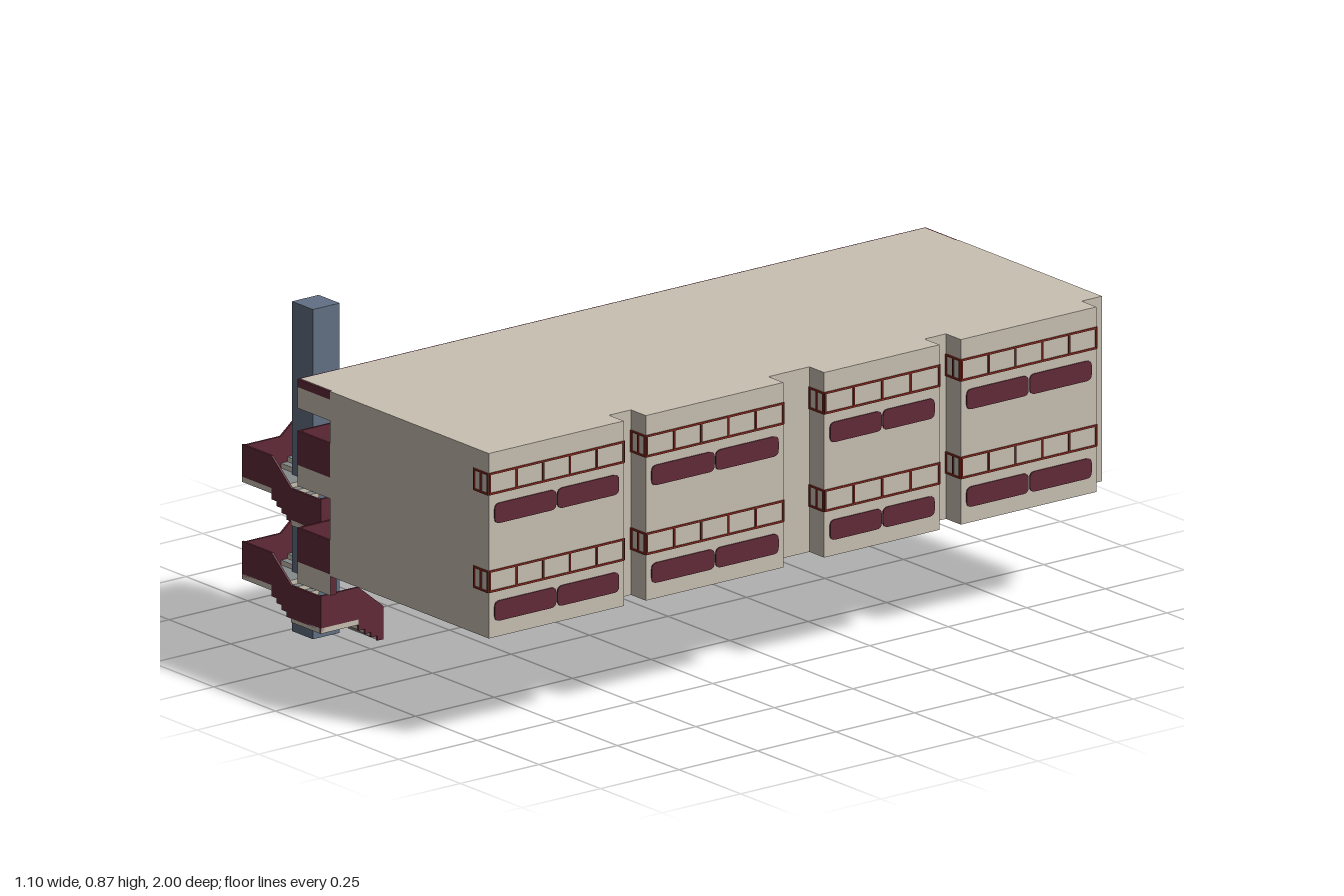
import * as THREE from 'three';

export function createModel() {
  const model = new THREE.Group();
  const mat = (name, color) => {
    const m = new THREE.MeshStandardMaterial({ color });
    m.name = name;
    return m;
  };
  const concrete = mat('beige concrete', 0xc9c0b2);
  const maroon = mat('maroon panel', 0x622a38);
  const slate = mat('slate tower', 0x627084);
  const grey = mat('grey tread', 0x848a8c);
  const frameRed = mat('window frame red', 0x85291f);

  const add = (name, geo, material, parent = model) => {
    const mesh = new THREE.Mesh(geo, material);
    mesh.name = name;
    parent.add(mesh);
    return mesh;
  };
  // Box given by its minimum and maximum along each axis
  const box = (name, x0, x1, y0, y1, z0, z1, material, parent) => {
    const mesh = add(name, new THREE.BoxGeometry(x1 - x0, y1 - y0, z1 - z0), material, parent);
    mesh.position.set((x0 + x1) / 2, (y0 + y1) / 2, (z0 + z1) / 2);
    return mesh;
  };
  const shapeOf = (pts) => new THREE.Shape(pts.map((p) => new THREE.Vector2(p[0], p[1])));

  // Main block: footprint with recesses between the bays on the +x side
  const WALL = -0.097, FACE = 0.547, RECESS = 0.487, EDGE = -0.23;
  const bays = [[0.57, 1], [0.062, 0.5], [-0.435, -0.068], [-0.935, -0.503]];
  const foot = [[WALL, 1], [WALL, -1], [RECESS, -1]];
  for (const [a, b] of [...bays].reverse()) {
    foot.push([RECESS, a], [FACE, a], [FACE, b]);
    if (b < 1) foot.push([RECESS, b]);
  }
  const blockGeo = new THREE.ExtrudeGeometry(shapeOf(foot.map(([x, z]) => [x, -z])), { depth: 0.487, bevelEnabled: false });
  blockGeo.rotateX(-Math.PI / 2).translate(0, 0.28, 0);
  add('mainBlock', blockGeo, concrete);

  // Window bands that wrap the bay corners, with rounded panels below
  const t = 0.003, bar = 0.005;
  const roundedPanel = (length, height, r) => {
    const s = new THREE.Shape(), a = length / 2, b = height / 2;
    s.moveTo(-a + r, -b).lineTo(a - r, -b).quadraticCurveTo(a, -b, a, -b + r);
    s.lineTo(a, b - r).quadraticCurveTo(a, b, a - r, b);
    s.lineTo(-a + r, b).quadraticCurveTo(-a, b, -a, b - r);
    s.lineTo(-a, -b + r).quadraticCurveTo(-a, -b, -a + r, -b);
    return new THREE.ExtrudeGeometry(s, { depth: t, bevelEnabled: false, curveSegments: 4 }).rotateY(Math.PI / 2);
  };
  for (const base of [0.4, 0.657]) {
    const top = base + 0.058;
    bays.forEach(([a, b], i) => {
      const band = new THREE.Group();
      band.name = 'windowBand';
      model.add(band);
      for (const y of [base, top - bar]) box('frameRail', FACE, FACE + t, y, y + bar, a, b, frameRed, band);
      const n = i === 2 ? 4 : 5;
      for (let k = 0; k <= n; k++) {
        const z = a + ((b - a - bar) * k) / n;
        box('frameMullion', FACE, FACE + t, base, top, z, z + bar, frameRed, band);
      }
      // Short return frames around both corners
      for (const [z, s] of [[a, -1], [b, 1]]) {
        const z0 = z === 1 ? z - t + 0.004 : Math.min(z, z + s * t);
        const z1 = z0 + t;
        for (const y of [base, top - bar]) box('returnRail', RECESS, FACE, y, y + bar, z0, z1, frameRed, band);
        for (const x of [RECESS, 0.515, FACE - bar]) box('returnMullion', x, x + bar, base, top, z0, z1, frameRed, band);
      }
      const half = (b - a - 0.03) / 2;
      for (const s of [-1, 1]) {
        const panel = add('roundedPanel', roundedPanel(half - 0.004, 0.053, 0.016), maroon);
        panel.position.set(FACE, base - 0.052, (a + b) / 2 + (s * half) / 2);
      }
    });
  }

  // Access galleries on the -x side: slab, parapet and brackets per level
  const bracketZ = [0.989, 0.73, 0.495, 0.22, 0, -0.22, -0.78, -0.989];
  const bracketMats = [maroon, maroon, concrete, concrete, concrete, concrete];
  const brackets = (level, list) => {
    for (const z of list) box('bracket', EDGE, WALL, level - 0.056, level, z - 0.01, z + 0.01, bracketMats);
  };
  const p = 0.006;
  for (const level of [0.285, 0.54]) {
    box('galleryFloor', EDGE + p, WALL, level, level + 0.012, -1 + p, 1 - p, concrete);
    // Parapet leaves an opening at the stair landing
    for (const [a, b] of [[-1, 0.605], [0.725, 1]]) box('galleryParapet', EDGE, EDGE + p, level, level + 0.09, a, b, maroon);
    for (const z of [-1, 1 - p]) box('endParapet', EDGE, WALL, level, level + 0.09, z, z + p, maroon);
    brackets(level, bracketZ);
  }
  box('galleryRoof', EDGE + p, WALL, 0.745, 0.767, -1 + p, 1 - p, concrete);
  box('roofFascia', EDGE, EDGE + p, 0.745, 0.766, -1, 1, maroon);
  for (const z of [-1, 1 - p]) box('endFascia', EDGE, WALL, 0.745, 0.766, z, z + p, maroon);
  brackets(0.745, bracketZ);

  // Lift tower
  box('tower', -0.487, -0.402, 0, 0.868, 0.73, 0.815, slate);

  // Square spiral stair: one flight and one corner landing per quarter turn
  const H = 0.16, F = 0.04, rise = 0.0638, risers = 5;
  const treadMats = [concrete, concrete, grey, concrete, concrete, concrete];
  const stair = new THREE.Group();
  stair.name = 'spiralStair';
  stair.position.set(-0.39, 0, 0.765);
  model.add(stair);
  for (let i = 0; i < 8; i++) {
    const g = new THREE.Group();
    g.name = 'stairQuarter';
    g.position.y = 0.03 + i * rise;
    g.rotation.y = (Math.PI / 2) * (1 - i);
    stair.add(g);
    const step = rise / risers, run = (2 * F) / (risers - 1);
    box('landing', -H, -F, rise - 0.014, rise, F, H, treadMats, g);
    const lower = [], inset = 0.004;
    for (let j = 0; j < risers - 1; j++) {
      const x1 = F - j * run, x0 = x1 - run, y = (j + 1) * step;
      box('step', x0, x1, y - step - 0.002, y, F, H - p, treadMats, g);
      lower.push([x1, y - step - inset], [x0, y - step - inset]);
    }
    // Outer parapet with a stepped lower edge; it starts at the flight where the landing is open
    const start = i % 4 === 0 ? [] : [[H, -inset]];
    const startTop = i % 4 === 0 ? [] : [[H, 0.083]];
    const outline = [...start, ...lower, [-F, rise - 0.014], [-H, rise - 0.014],
      [-H, rise + 0.085], [-F, rise + 0.085], [F, 0.083], ...startTop].reverse();
    const wall = add('stairParapet', new THREE.ExtrudeGeometry(shapeOf(outline), { depth: p, bevelEnabled: false }), maroon, g);
    wall.position.z = H - p;
  }
  return model;
}
